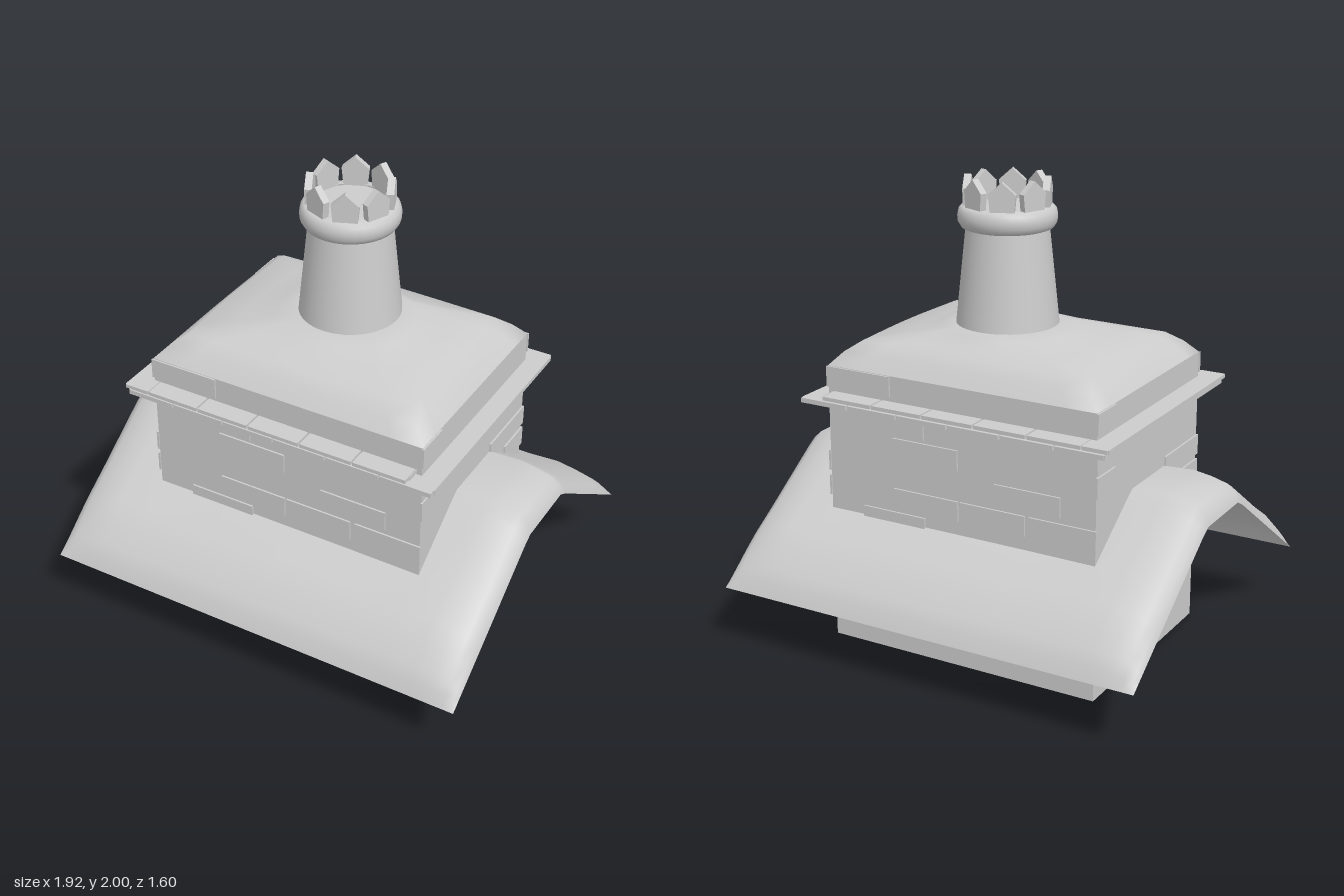
import * as THREE from 'three';

const stone = new THREE.MeshStandardMaterial({ color: 0xcccccc, side: THREE.DoubleSide });
stone.name = 'pale grey stone';

const W = 0.625, D = 0.47; // half width and half depth of the stack
const POT = [0.015, -0.04]; // pot centre, x and z

function add(parent, name, geometry, x = 0, y = 0, z = 0) {
  const mesh = new THREE.Mesh(geometry, stone);
  mesh.name = name;
  mesh.position.set(x, y, z);
  parent.add(mesh);
  return mesh;
}

// box given by its limits on each axis
function block(parent, name, x0, x1, y0, y1, z0, z1) {
  return add(parent, name, new THREE.BoxGeometry(x1 - x0, y1 - y0, z1 - z0),
    (x0 + x1) / 2, (y0 + y1) / 2, (z0 + z1) / 2);
}

// four walls, open below
function wallGeometry() {
  const g = new THREE.CylinderGeometry(Math.SQRT1_2, Math.SQRT1_2, 1, 4, 1, true);
  g.rotateY(Math.PI / 4);
  g.scale(2 * W, 1.22, 2 * D);
  const flat = g.toNonIndexed();
  flat.computeVertexNormals();
  return flat;
}

// saddle roof sheet, puffed up between its four edges
function roofGeometry() {
  const mirror = (half) => [...half.map(([p, k]) => [-p, k]), [0, half.at(-1)[1]],
    ...half.slice().reverse()];
  const xs = mirror([[0.96, 0], [0.945, 0.4], [0.91, 0.7], [0.84, 0.88], [0.76, 1], [0.62, 0.93], [0.3, 0.95]]);
  const zs = mirror([[0.8, 0], [0.775, 0.04], [0.74, 0.07], [0.67, 0.095], [0.6, 0.11],
    [0.47, 0.1], [0.3, 0.1], [0.2, 0.1], [0.15, 0.105]]);
  const g = new THREE.PlaneGeometry(1, 1, xs.length - 1, zs.length - 1);
  const p = g.attributes.position;
  for (let i = 0; i < p.count; i++) {
    const [x, kx] = xs[i % xs.length], [z, kz] = zs[Math.floor(i / xs.length)];
    const base = 0.27 + 0.44 * Math.min(1, (0.8 - Math.abs(z)) / 0.64);
    p.setXYZ(i, x, base + kx * kz, z);
  }
  g.computeVertexNormals();
  return g;
}

// mortar cap: loops that blend from a rectangle to a circle around the pot
function capGeometry() {
  const rows = [[W, D, 1.22, 0], [0.58, 0.425, 1.275, 0.03], [0.53, 0.38, 1.318, 0.1],
    [0.4, 0.31, 1.342, 0.3], [0.29, 0.25, 1.375, 0.7], [0.22, 0.22, 1.392, 1], [0, 0, 1.392, 1]];
  const N = 48, pos = [], idx = [];
  rows.forEach(([a, b, y, k], r) => {
    for (let i = 0; i < N; i++) {
      const t = i / N * Math.PI * 2, c = Math.cos(t), s = Math.sin(t);
      const f = (1 - k) / Math.max(Math.abs(c), Math.abs(s)) + k;
      pos.push(a * c * f + POT[0] * k, y, b * s * f + POT[1] * k);
      if (r === 0) continue;
      const j = (i + 1) % N, lo = (r - 1) * N, hi = r * N;
      idx.push(lo + i, hi + i, lo + j, lo + j, hi + i, hi + j);
    }
  });
  const g = new THREE.BufferGeometry();
  g.setAttribute('position', new THREE.Float32BufferAttribute(pos, 3));
  g.setIndex(idx);
  g.computeVertexNormals();
  return g;
}

// thin raised bricks on one long face and one short face
function brickSide() {
  const g = new THREE.Group();
  g.name = 'bricks';
  const t = 0.008;
  const long = [[-0.63, -0.32, 1.13], [-0.46, -0.16, 0.97], [0.49, 0.63, 0.97], [-0.31, 0, 0.87],
    [0.17, 0.47, 0.76], [-0.31, 0, 0.65], [0.01, 0.31, 0.65], [0.33, 0.63, 0.65], [-0.46, -0.16, 0.545]];
  const short = [[0.32, 0.475, 1.13], [0.16, 0.475, 0.97], [0.32, 0.475, 0.87],
    [-0.475, -0.15, 0.76], [-0.475, -0.3, 0.65]];
  for (const [a, b, y] of long) block(g, 'brick', a, b, y, y + 0.088, D - 0.001, D + t);
  for (const [a, b, y] of short) block(g, 'brick', W - 0.001, W + t, y, y + 0.088, a, b);
  return g;
}

// two staggered courses of slates around the stack
function ledge() {
  const g = new THREE.Group();
  g.name = 'slateLedge';
  const courses = [[1.07, 1.09, -0.6, 0.71], [1.096, 1.112, -0.715, 0.6]];
  courses.forEach(([y0, y1, start, end], layer) => {
    const cuts = layer ? [start, -0.6, -0.36, -0.12, 0.12, 0.36, end]
      : [-0.7, -0.48, -0.24, 0, 0.24, 0.48, end];
    for (const s of [1, -1]) {
      for (let i = 0; i < cuts.length - 1; i++) {
        const z = [s * 0.45, s * 0.555].sort((a, b) => a - b);
        block(g, 'slate', cuts[i] + 0.004, cuts[i + 1] - 0.004, y0, y1, ...z);
      }
    }
    block(g, 'leftSlate', 0.6, layer ? 0.602 : 0.71, y0, y1, -0.54, 0.53);
    block(g, 'rightSlate', layer ? -0.715 : -0.7, -0.6, y0, y1, -0.55, 0.55);
  });
  return g;
}

// tapered pot with a rounded collar and a crown of pointed teeth
function pot() {
  const g = new THREE.Group();
  g.name = 'chimneyPot';
  g.position.set(POT[0], 0, POT[1]);
  add(g, 'potBody', new THREE.CylinderGeometry(0.17, 0.215, 0.43, 32, 1, true), 0, 1.595, 0);
  const collar = [[0.168, 1.785], [0.19, 1.793], [0.203, 1.815], [0.205, 1.84], [0.2, 1.865],
    [0.185, 1.88], [0.15, 1.882]];
  add(g, 'collar', new THREE.LatheGeometry(collar.map(([r, y]) => new THREE.Vector2(r, y)), 32));
  const disc = new THREE.CircleGeometry(0.152, 32);
  disc.rotateX(-Math.PI / 2);
  add(g, 'potFloor', disc, 0, 1.875, 0);
  const shape = new THREE.Shape([[-0.048, 1.87], [0.048, 1.87], [0.056, 1.95], [0, 2], [-0.056, 1.95]]
    .map(([x, y]) => new THREE.Vector2(x, y)));
  const tooth = new THREE.ExtrudeGeometry(shape, { depth: 0.03, bevelEnabled: false });
  tooth.translate(0, 0, 0.147);
  for (let i = 0; i < 8; i++) add(g, 'crownTooth', tooth).rotation.y = (i + 0.5) * Math.PI / 4;
  return g;
}

export function createModel() {
  const model = new THREE.Group();
  model.name = 'chimney';
  add(model, 'stackWalls', wallGeometry(), 0, 0.61, 0);
  add(model, 'roof', roofGeometry());
  add(model, 'mortarCap', capGeometry());
  const back = brickSide();
  back.rotation.y = Math.PI;
  model.add(brickSide(), back, ledge(), pot());
  return model;
}
